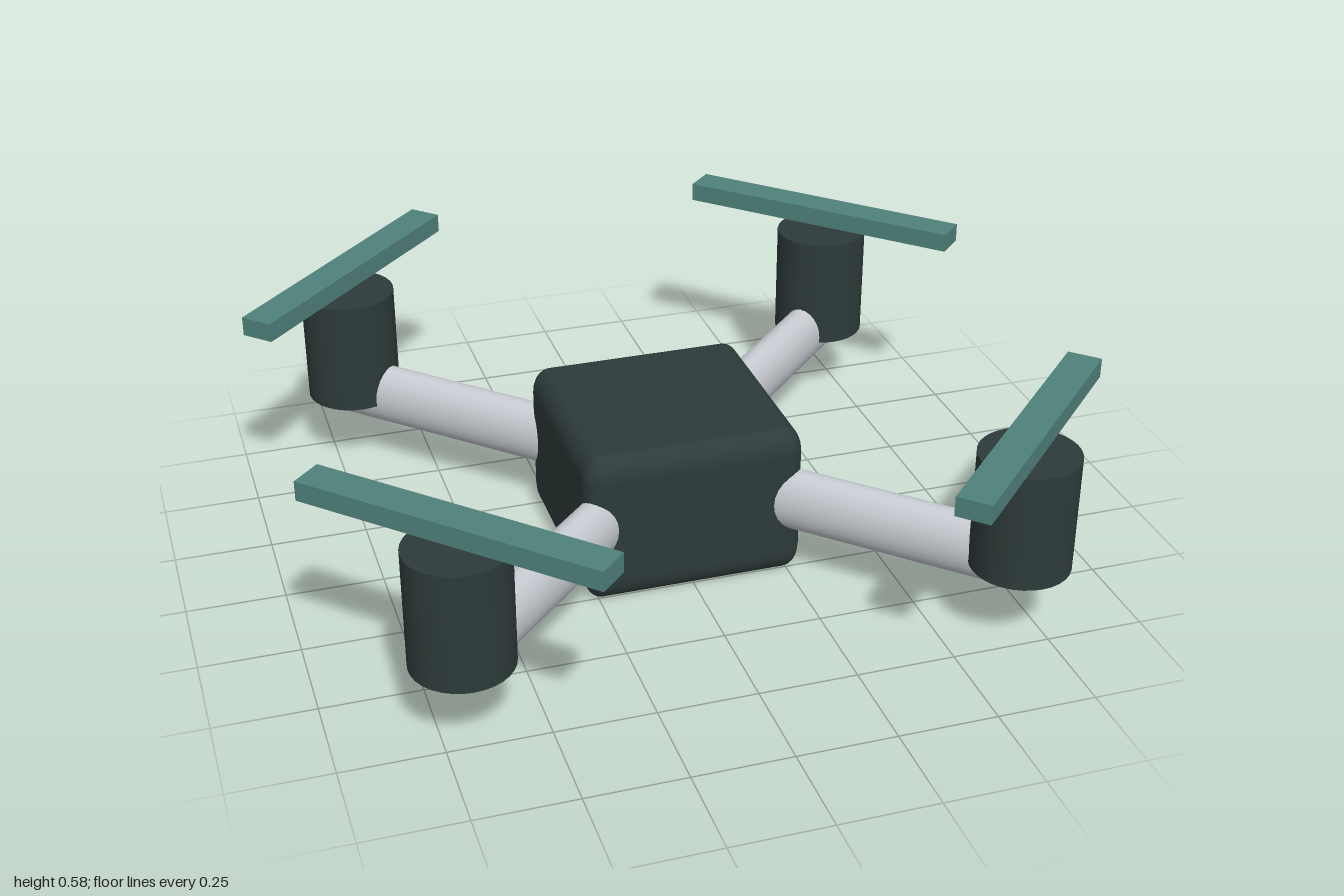
import * as THREE from 'three';
import { RoundedBoxGeometry } from 'three/addons/geometries/RoundedBoxGeometry.js';

const material = (name, color) => {
  const m = new THREE.MeshStandardMaterial({ color });
  m.name = name;
  return m;
};

export function createModel() {
  const dark = material('dark slate', 0x2d3b3a);
  const teal = material('teal', 0x4f827c);
  const silver = material('silver', 0xc8ccd2);

  const model = new THREE.Group();
  model.name = 'quadcopter';

  const add = (parent, name, geometry, mat, x, y, z) => {
    const mesh = new THREE.Mesh(geometry, mat);
    mesh.name = name;
    mesh.position.set(x, y, z);
    parent.add(mesh);
  };

  // Central body: rounded box, its edges stretched upward
  const body = new RoundedBoxGeometry(0.57, 0.272, 0.56, 3, 0.045);
  body.scale(1, 1.5, 1);
  add(model, 'body', body, dark, 0, 0.205, 0);

  // Shared geometry for the four rotor assemblies, pointing along +x
  const reach = 0.97;
  const armGeometry = new THREE.CylinderGeometry(0.056, 0.056, reach - 0.1, 24);
  armGeometry.rotateZ(Math.PI / 2).scale(1, 1.5, 1);
  const motorGeometry = new THREE.CylinderGeometry(0.125, 0.125, 0.305, 32);
  const bladeGeometry = new THREE.BoxGeometry(0.087, 0.05, 0.79);

  // One arm, motor and blade toward each corner
  for (const [side, sx] of [['Left', 1], ['Right', -1]]) {
    for (const [end, sz] of [['front', 1], ['back', -1]]) {
      const rotor = new THREE.Group();
      rotor.name = `${end}${side}Rotor`;
      rotor.rotation.y = Math.atan2(-sz * 0.684, sx * 0.69);
      add(rotor, 'arm', armGeometry, silver, (reach + 0.1) / 2, 0.21, 0);
      add(rotor, 'motor', motorGeometry, dark, reach, 0.347, 0);
      add(rotor, 'propellerBlade', bladeGeometry, teal, reach, 0.553, 0);
      model.add(rotor);
    }
  }
  return model;
}
